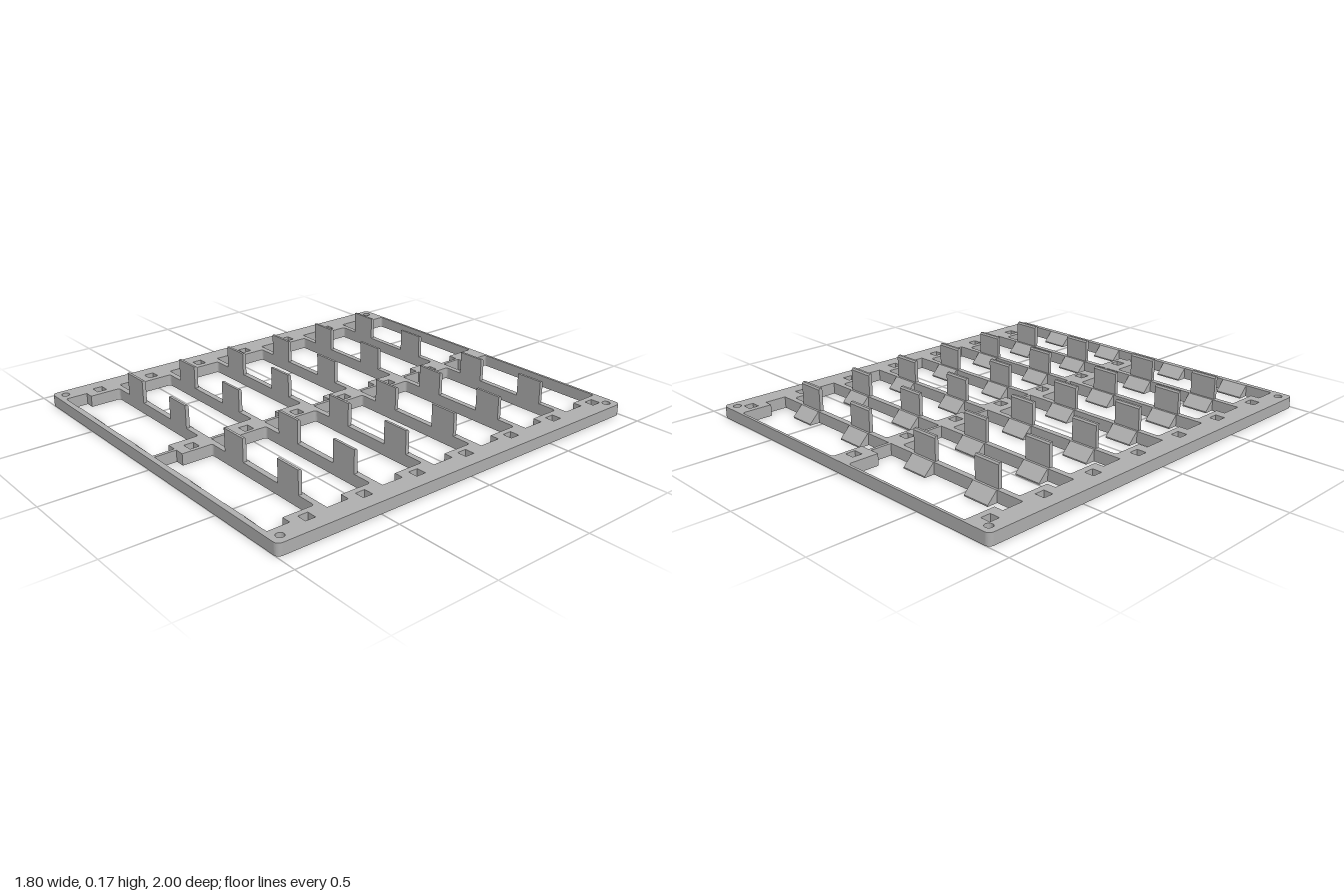
import * as THREE from 'three';

const HEIGHT = 0.055;
const ROWS = 7, PITCH = 0.284;
const ROW_BACK = -0.987, ROW_FRONT = -0.73; // z range of the first row of openings
const BAR = PITCH - (ROW_FRONT - ROW_BACK);

// Closed path on the ground plan, given as [x, z]
function planPath(points) {
  return new THREE.Path(points.map(([x, z]) => new THREE.Vector2(x, -z)));
}

function squareHole(x, z, h = 0.024) {
  return planPath([[x - h, z - h], [x + h, z - h], [x + h, z + h], [x - h, z + h]]);
}

function roundHole(x, z, r) {
  return new THREE.Path().absarc(x, -z, r, 0, Math.PI * 2);
}

// Opening narrowed at the back by the two hole bosses, with softened back corners
function opening(x0, x1, bossX0, bossX1, z0, z1) {
  const step = z0 + 0.151, r = 0.014;
  const p = new THREE.Path();
  p.moveTo(x0, -z1);
  p.lineTo(x1, -z1);
  p.lineTo(x1, -step);
  p.lineTo(bossX1, -step);
  p.lineTo(bossX1, -z0 - r);
  p.quadraticCurveTo(bossX1, -z0, bossX1 - r, -z0);
  p.lineTo(bossX0 + r, -z0);
  p.quadraticCurveTo(bossX0, -z0, bossX0, -z0 - r);
  p.lineTo(bossX0, -step);
  p.lineTo(x0, -step);
  p.closePath();
  return p;
}

function frameGeometry() {
  const w = 0.9, d = 1, r = 0.025;
  const s = new THREE.Shape();
  s.absarc(w - r, d - r, r, 0, Math.PI / 2);
  s.absarc(-w + r, d - r, r, Math.PI / 2, Math.PI);
  s.absarc(-w + r, -d + r, r, Math.PI, Math.PI * 1.5);
  s.absarc(w - r, -d + r, r, Math.PI * 1.5, Math.PI * 2);
  for (let i = 0; i < ROWS; i++) {
    const z0 = ROW_BACK + i * PITCH, z1 = ROW_FRONT + i * PITCH;
    s.holes.push(opening(-0.8, -0.008, -0.756, -0.056, z0, z1));
    s.holes.push(opening(0.008, 0.8, 0.055, 0.755, z0, z1));
    for (const x of [-0.81, 0.012, 0.807]) s.holes.push(squareHole(x, z0 + 0.077));
  }
  for (const x of [-0.852, 0.852])
    for (const z of [-0.956, 0.952]) s.holes.push(roundHole(x, z, 0.019));
  return new THREE.ExtrudeGeometry(s, { depth: HEIGHT, bevelEnabled: false, curveSegments: 8 })
    .rotateX(-Math.PI / 2);
}

// Extrude a side profile of [z, y] points across a width in x
function profileAcross(points, width) {
  const s = new THREE.Shape(points.map(([z, y]) => new THREE.Vector2(-z, y)));
  return new THREE.ExtrudeGeometry(s, { depth: width, bevelEnabled: false })
    .translate(0, 0, -width / 2)
    .rotateY(Math.PI / 2);
}

export function createModel() {
  const group = new THREE.Group();
  const grey = new THREE.MeshStandardMaterial({ color: 0xb0b0b0 });
  grey.name = 'grey plastic';

  const add = (geometry, name, x = 0, z = 0) => {
    const mesh = new THREE.Mesh(geometry, grey);
    mesh.name = name;
    mesh.position.set(x, 0, z);
    group.add(mesh);
  };

  add(frameGeometry(), 'frame');

  // Sloped supports behind each crossbar, and upright tabs flush with its front
  const ramp = profileAcross([[-0.05, 0], [0.002, 0], [0.002, HEIGHT], [-0.002, HEIGHT], [-0.05, 0.006]], 0.135);
  const tab = profileAcross([
    [BAR - 0.018, HEIGHT - 0.002], [BAR, HEIGHT - 0.002], [BAR, 0.165],
    [BAR - 0.012, 0.165], [BAR - 0.018, 0.157]], 0.135);
  for (let i = 0; i < ROWS; i++) {
    const z = ROW_FRONT + i * PITCH;
    for (const x of [-0.592, -0.22, 0.218, 0.59]) {
      add(ramp, 'rampSupport', x, z);
      if (i < ROWS - 1) add(tab, 'uprightTab', x, z);
    }
  }
  return group;
}
